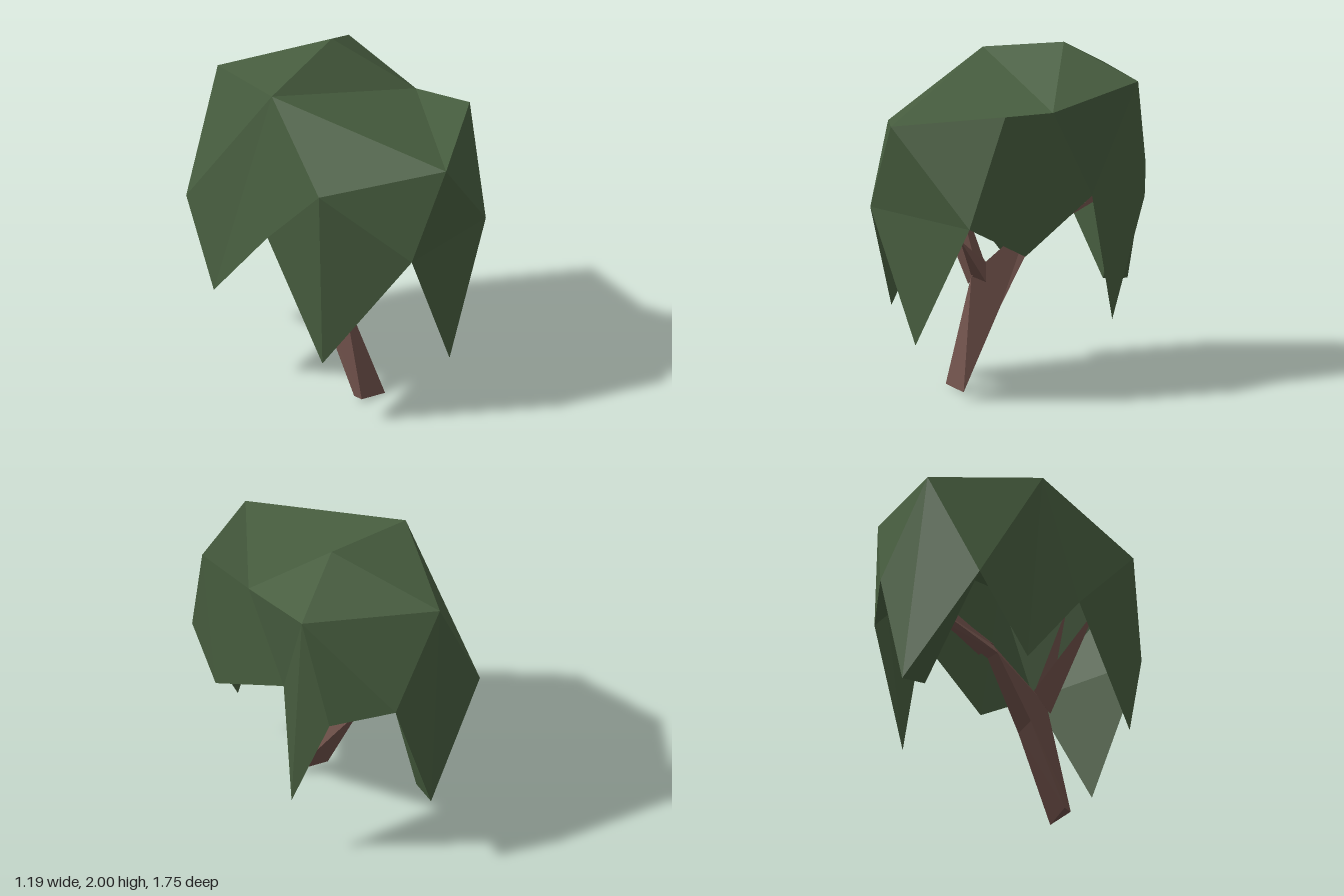
import * as THREE from 'three';

const leaf = new THREE.MeshStandardMaterial({ color: 0x465c3e, flatShading: true, side: THREE.DoubleSide });
leaf.name = 'leaf green';
const bark = new THREE.MeshStandardMaterial({ color: 0x6e5049, flatShading: true, side: THREE.DoubleSide });
bark.name = 'bark brown';

// Flat-faceted mesh from a list of triangles, each [Vector3, Vector3, Vector3]
function facets(name, tris, material) {
  const geo = new THREE.BufferGeometry().setFromPoints(tris.flat());
  geo.computeVertexNormals();
  const mesh = new THREE.Mesh(geo, material);
  mesh.name = name;
  return mesh;
}

// Canopy corners: crown, then hanging hem running round the tree
const corners = {
  // crown
  P: [0.2, 2, -0.225], A: [-0.41, 1.89, -0.125], B: [0.59, 1.8, -0.455], C: [-0.02, 1.61, 0.875],
  D: [-0.6, 1.5, 0.42], E: [0.53, 1.68, 0.125], F: [0.57, 1.71, 0.51], G: [-0.145, 1.76, -0.795],
  // hem, with the drooping tips T, R, S, U and V
  T: [0.1, 0.34, 0.79], H: [0.49, 1.065, 0.71], N: [0.58, 0.88, 0.37], O: [0.51, 1.155, -0.18],
  R: [0.545, 0.425, -0.3], L: [0.49, 1.1, -0.585], J: [0.2, 1.21, -0.83], S: [-0.02, 0.505, -0.875],
  K: [-0.49, 1.08, -0.72], U: [-0.58, 0.61, -0.42], M: [-0.58, 1.09, 0], V: [-0.57, 0.425, 0.42],
  I: [-0.26, 1.1, 0.83],
  // inner edge of the thick back tip
  X: [0.07, 1.1, -0.72], Y: [-0.04, 0.52, -0.71],
};
const point = (key) => new THREE.Vector3(...corners[key]);

// Triangles named by corner, wound to face away from the canopy's middle
function leafFaces(codes) {
  const middle = new THREE.Vector3(0, 1.1, 0);
  return codes.split(' ').map((code) => {
    const [a, b, c] = [...code].map(point);
    const normal = b.clone().sub(a).cross(c.clone().sub(a));
    return normal.dot(a.clone().sub(middle)) < 0 ? [a, c, b] : [a, b, c];
  });
}

// Limb lofted through triangular cross-sections, closed at both ends
function limb(name, rings) {
  const r = rings.map((ring) => ring.map((p) => new THREE.Vector3(...p)));
  const tris = [[r[0][0], r[0][2], r[0][1]], r[r.length - 1]];
  for (let i = 0; i + 1 < r.length; i++) {
    for (let k = 0; k < 3; k++) {
      const n = (k + 1) % 3;
      tris.push([r[i][k], r[i][n], r[i + 1][n]], [r[i][k], r[i + 1][n], r[i + 1][k]]);
    }
  }
  return facets(name, tris, bark);
}

// Branch tapering from a triangular root to a point
function branch(name, root, tip) {
  const [a, b, c] = root.map((p) => new THREE.Vector3(...p));
  const t = new THREE.Vector3(...tip);
  return facets(name, [[a, c, b], [a, b, t], [b, c, t], [c, a, t]], bark);
}

export function createModel() {
  const tree = new THREE.Group();
  tree.name = 'weepingTree';

  const canopy = new THREE.Group();
  canopy.name = 'canopy';
  canopy.add(
    facets('crown', leafFaces('AGP GBP APE PBE AEC ECF ADC'), leaf),
    facets('hangingFoliage', leafFaces(
      'CIH ITH CHF FHN FNE ENO EOB BOR BRL BLJ GBJ GJS GSK AGK AKU AUM AMD DMV DVI DIC'), leaf),
    facets('backTipThickness', leafFaces('JXY JYS SYK XYK LJX'), leaf),
  );

  const wood = new THREE.Group();
  wood.name = 'wood';
  wood.add(
    // leaning trunk, running from the front base to the back of the canopy
    limb('trunk', [
      [[0.015, 0, 0.365], [-0.165, 0.02, 0.35], [-0.17, 0.025, 0.295]],
      [[-0.05, 0.45, 0.04], [-0.14, 0.64, 0.18], [-0.16, 0.49, 0.03]],
      [[-0.08, 0.82, -0.24], [-0.12, 0.89, -0.23], [-0.16, 0.83, -0.24]],
      [[-0.02, 0.98, -0.62], [-0.04, 1.08, -0.56], [-0.07, 1, -0.61]],
      [[-0.02, 1.24, -0.72], [-0.03, 1.25, -0.7], [-0.04, 1.24, -0.72]],
    ]),
    branch('rightBranch', [[-0.17, 0.58, 0.18], [-0.1, 0.66, 0.19], [-0.13, 0.7, 0.08]], [-0.42, 1.2, 0.3]),
    branch('upperBranch', [[-0.16, 0.64, 0.18], [-0.1, 0.66, 0.17], [-0.13, 0.7, 0.09]], [-0.22, 1.25, 0.26]),
    branch('frontBranch', [[-0.14, 0.63, 0.18], [-0.07, 0.6, 0.13], [-0.12, 0.7, 0.09]], [0.05, 0.9, 0.42]),
    branch('leftBranch', [[-0.12, 0.9, -0.23], [-0.04, 0.98, -0.62], [-0.08, 0.97, -0.35]], [0.21, 1.01, -0.02]),
  );

  tree.add(canopy, wood);
  return tree;
}
